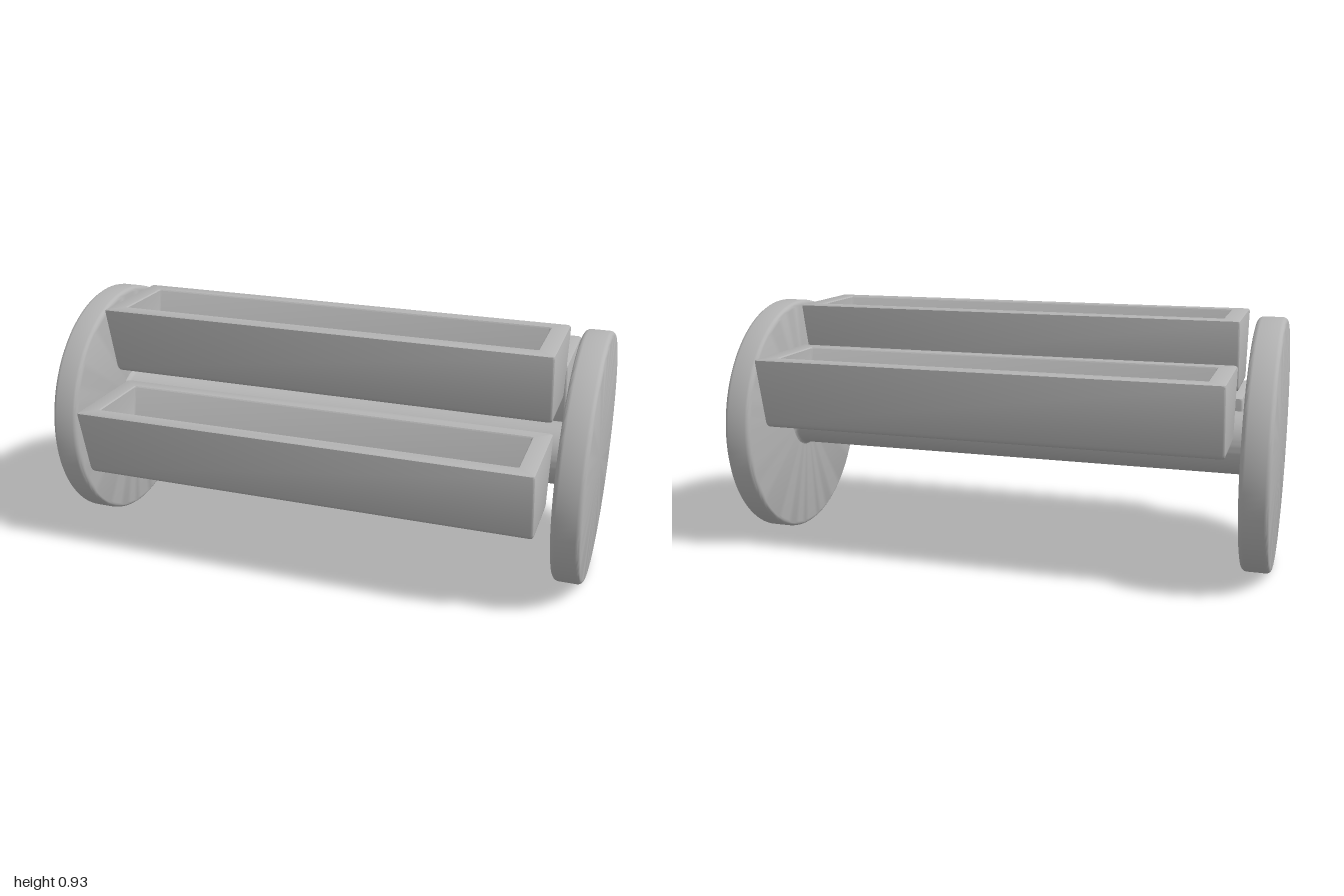
import * as THREE from 'three';
import { toCreasedNormals } from 'three/addons/utils/BufferGeometryUtils.js';

const grey = new THREE.MeshStandardMaterial({ color: 0xb4b4b4 });
grey.name = 'plain grey';

// Quarter-round points about (cx, cy), from angle a to b in degrees
function arc(cx, cy, r, a, b, steps = 4) {
  return Array.from({ length: steps + 1 }, (_, i) => {
    const t = THREE.MathUtils.degToRad(a + (b - a) * i / steps);
    return new THREE.Vector2(cx + r * Math.cos(t), cy + r * Math.sin(t));
  });
}

// Solid of revolution about the x axis
function turned(profile, name) {
  const geo = toCreasedNormals(new THREE.LatheGeometry(profile, 96), 0.6);
  geo.rotateZ(-Math.PI / 2);
  const mesh = new THREE.Mesh(geo, grey);
  mesh.name = name;
  return mesh;
}

// Closed skin over a stack of rounded rectangles: [halfX, halfZ, y, cornerRadius]
function loftRings(rings) {
  const pos = [], index = [], steps = 3, n = 4 * (steps + 1);
  for (const [hx, hz, y, r] of rings) {
    for (let c = 0; c < 4; c++) {
      const sx = c === 0 || c === 3 ? 1 : -1, sz = c < 2 ? 1 : -1;
      for (const p of arc(sx * (hx - r), sz * (hz - r), r, c * 90, c * 90 + 90, steps)) {
        pos.push(p.x, y, p.y);
      }
    }
  }
  for (let k = 0; k < rings.length - 1; k++) {
    for (let i = 0; i < n; i++) {
      const a = k * n + i, b = k * n + (i + 1) % n;
      index.push(a, a + n, b, b, a + n, b + n);
    }
  }
  const last = (rings.length - 1) * n;
  for (let i = 1; i < n - 1; i++) {
    index.push(0, i, i + 1); // underside
    index.push(last, last + i + 1, last + i); // inner floor
  }
  const geo = new THREE.BufferGeometry();
  geo.setAttribute('position', new THREE.Float32BufferAttribute(pos, 3));
  geo.setIndex(index);
  return toCreasedNormals(geo, 0.6);
}

export function createModel() {
  const model = new THREE.Group();
  model.name = 'tripleTroughStand';
  const axisY = 0.465, axisZ = -0.023;

  // End discs with softened rims
  const R = 0.463, half = 0.052, e = 0.018;
  const discProfile = [
    new THREE.Vector2(0, -half),
    ...arc(R - e, -half + e, e, -90, 0),
    ...arc(R - e, half - e, e, 0, 90),
    new THREE.Vector2(0, half),
  ];
  for (const [side, name] of [[1, 'leftDisc'], [-1, 'rightDisc']]) {
    const disc = turned(discProfile, name);
    disc.position.set(side * (1 - half), axisY, axisZ);
    model.add(disc);
  }

  // Axle flaring into the discs at both ends
  const f = 0.022, axleR = 0.115, end = 0.9;
  const axle = turned([
    ...arc(axleR + f, -end + f, f, 270, 180),
    ...arc(axleR + f, end - f, f, 180, 90),
  ], 'axle');
  axle.position.set(0, axisY, axisZ);
  model.add(axle);

  // Trough: tapered long sides, upright ends, hollow from above
  const troughGeo = loftRings([
    [0.835, 0.112, -0.265, 0.006],
    [0.841, 0.121, -0.262, 0.008],
    [0.845, 0.128, -0.255, 0.01],
    [0.846, 0.133, -0.245, 0.01],
    [0.846, 0.19, -0.009, 0.01],
    [0.844, 0.19, -0.003, 0.01],
    [0.839, 0.186, 0, 0.008],
    [0.784, 0.136, 0, 0.006],
    [0.78, 0.132, -0.004, 0.006],
    [0.778, 0.09, -0.18, 0.006],
    [0.773, 0.084, -0.195, 0.006],
    [0.762, 0.07, -0.203, 0.006],
  ]);
  for (const [name, y, z] of [
    ['frontTrough', 0.6, 0.316],
    ['topTrough', 0.925, 0.064],
    ['backTrough', 0.768, -0.316],
  ]) {
    const trough = new THREE.Mesh(troughGeo, grey);
    trough.name = name;
    trough.position.set(0, y, z);
    model.add(trough);
  }
  return model;
}
